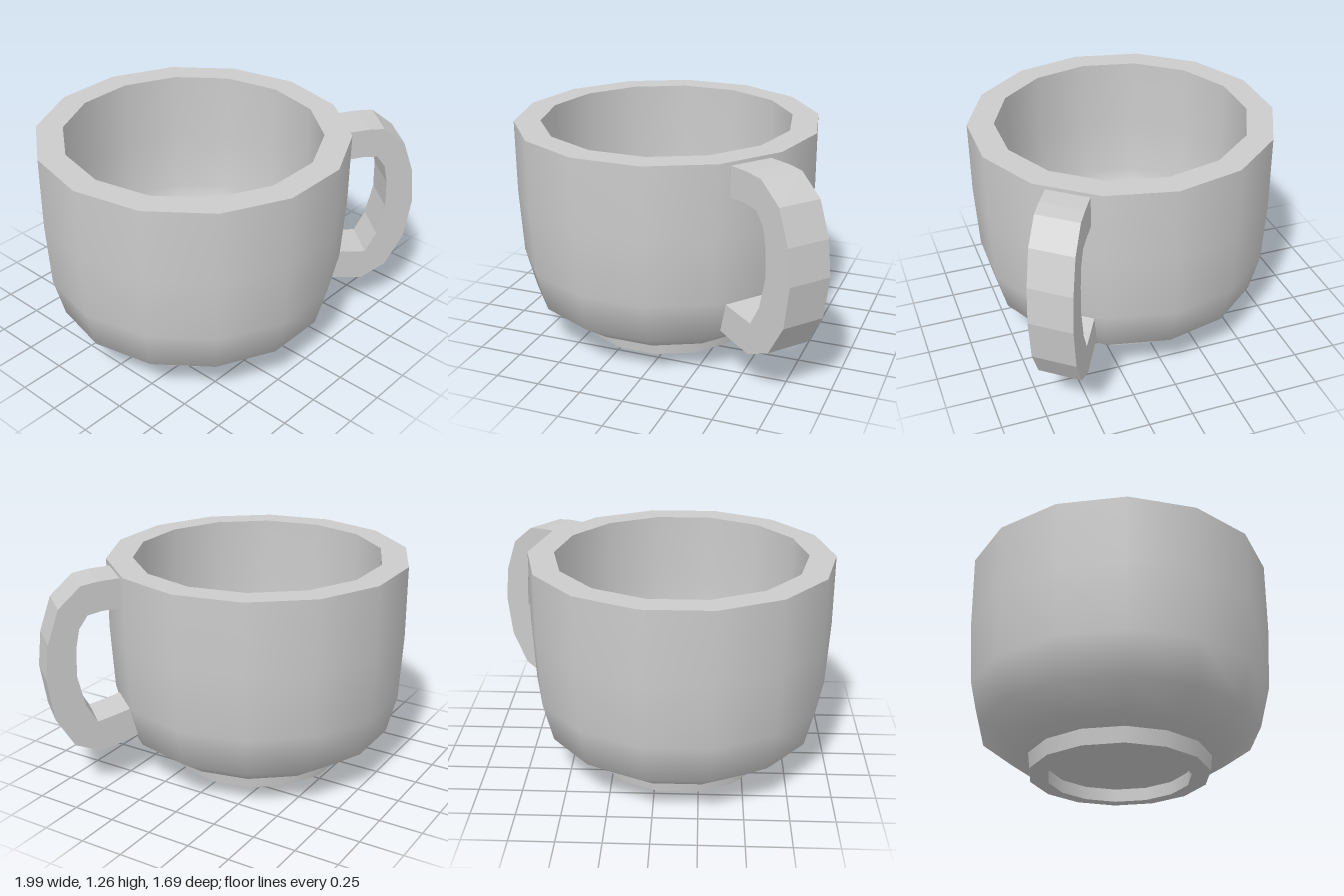
import * as THREE from 'three';

const material = new THREE.MeshStandardMaterial({ color: 0xcccccc, side: THREE.DoubleSide });
const SIDES = 14;
const vectors = (pairs) => pairs.map(([x, y]) => new THREE.Vector2(x, y));

// One turned surface with smooth normals; separate calls keep the edges between them sharp
function turned(name, pairs) {
  const mesh = new THREE.Mesh(new THREE.LatheGeometry(vectors(pairs), SIDES, Math.PI / 2), material);
  mesh.name = name;
  return mesh;
}

function createCup() {
  const cup = new THREE.Group();
  cup.name = 'cup';
  cup.position.x = -0.132;
  cup.add(
    // Foot ring with a recessed underside
    turned('footRecess', [[0, 0.075], [0.4, 0.075]]),
    turned('footInnerWall', [[0.4, 0.075], [0.4, 0]]),
    turned('footRim', [[0.4, 0], [0.505, 0.012]]),
    turned('footOuterWall', [[0.505, 0.012], [0.515, 0.1]]),
    // Body, flat lip and hollow inside
    turned('outerWall', [[0.5, 0.1], [0.62, 0.13], [0.79, 0.25], [0.848, 0.48], [0.867, 0.85], [0.867, 1.26]]),
    turned('lip', [[0.867, 1.26], [0.717, 1.26]]),
    turned('innerWall', [[0.717, 1.26], [0.717, 0.85], [0.7, 0.52], [0.65, 0.36], [0.53, 0.25], [0.39, 0.21]]),
    turned('innerFloor', [[0.39, 0.21], [0, 0.21]]),
  );
  return cup;
}

function createHandle() {
  // C-shaped side outline, running from the upper end round to the lower end and back
  const outline = vectors([
    [0.43, 1.24], [0.56, 1.24], [0.645, 1.23], [0.76, 1.12], [0.82, 0.93], [0.84, 0.73],
    [0.81, 0.49], [0.72, 0.31], [0.59, 0.24], [0.5, 0.26], [0.39, 0.29],
    [0.41, 0.465], [0.52, 0.44], [0.6, 0.425], [0.655, 0.54], [0.69, 0.72],
    [0.685, 0.88], [0.665, 0.99], [0.62, 1.06], [0.55, 1.072], [0.43, 1.07],
  ]);
  const geometry = new THREE.ExtrudeGeometry(new THREE.Shape(outline), { depth: 1, bevelEnabled: false });

  // Skew so the width follows the cup's wall while the outline reaches out diagonally
  geometry.applyMatrix4(new THREE.Matrix4().set(
    1, 0, -0.155, 0.155,
    0, 1, 0, 0,
    0.58, 0, 0.19, 0.166,
    0, 0, 0, 1,
  ));
  const handle = new THREE.Mesh(geometry, material);
  handle.name = 'handle';
  return handle;
}

export function createModel() {
  const model = new THREE.Group();
  model.name = 'mug';
  model.add(createCup(), createHandle());
  return model;
}
